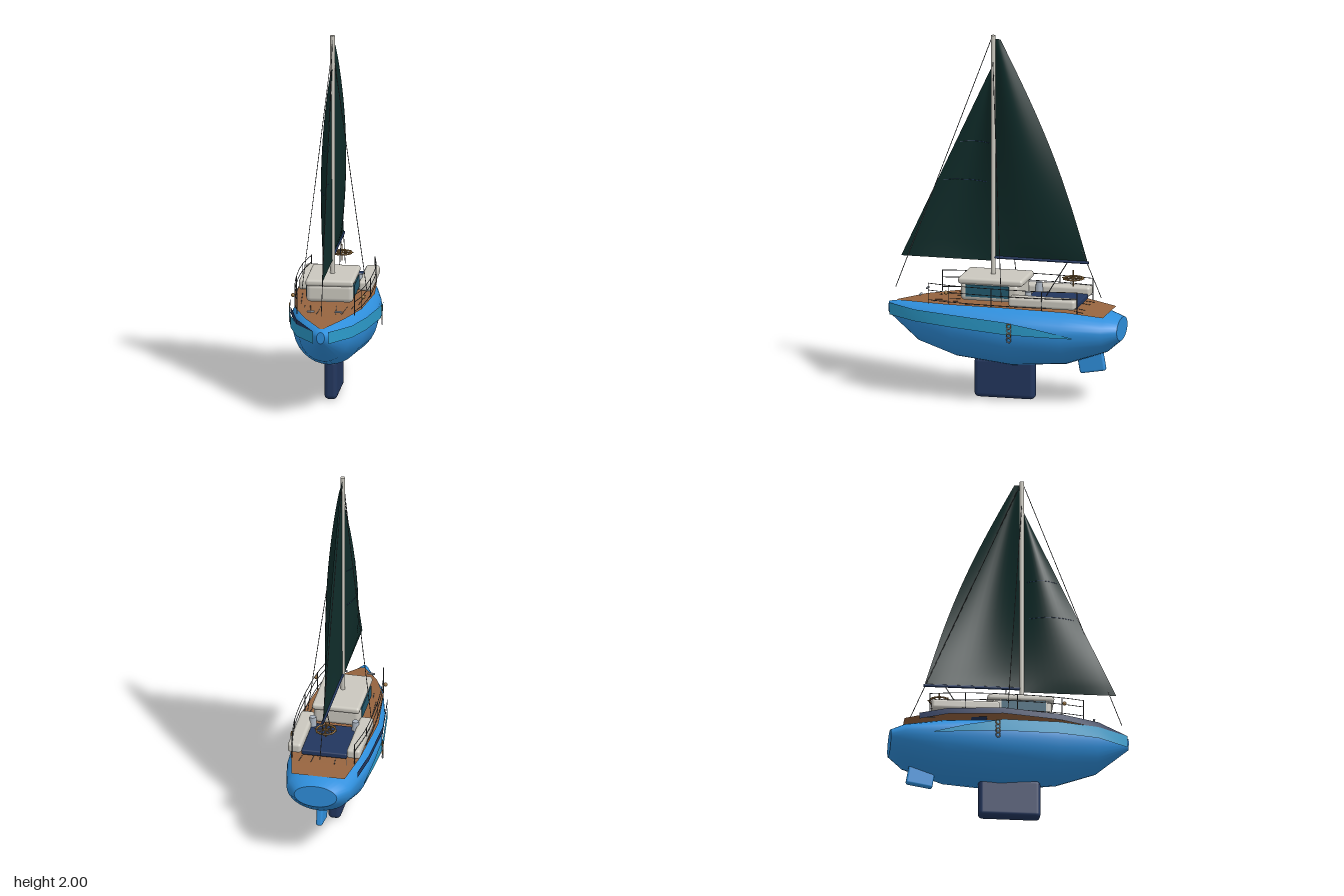
import * as THREE from 'three';
import { RoundedBoxGeometry } from 'three/addons/geometries/RoundedBoxGeometry.js';

const V = (x, y, z) => new THREE.Vector3(x, y, z);
const lerp = THREE.MathUtils.lerp;

function mat(name, color, side = THREE.FrontSide) {
  const m = new THREE.MeshStandardMaterial({ color, side });
  m.name = name;
  return m;
}

// Skin through rows of points; closed joins each row into a ring
function skin(rows, closed = false) {
  const n = rows[0].length, index = [];
  for (let i = 0; i < rows.length - 1; i++) {
    for (let j = 0; j < (closed ? n : n - 1); j++) {
      const k = (j + 1) % n;
      const a = i * n + j, b = i * n + k, c = a + n, d = b + n;
      index.push(a, c, b, b, c, d);
    }
  }
  const g = new THREE.BufferGeometry().setFromPoints(rows.flat());
  g.setIndex(index);
  g.computeVertexNormals();
  return g;
}

// Hull stations: z, half width, bottom, widest height, top
const STATIONS = [
  [0.645, 0.022, 0.437, 0.468, 0.50],
  [0.47, 0.137, 0.295, 0.45, 0.525],
  [0.26, 0.193, 0.225, 0.435, 0.54],
  [-0.05, 0.233, 0.193, 0.42, 0.547],
  [-0.35, 0.219, 0.217, 0.42, 0.538],
  [-0.57, 0.175, 0.295, 0.425, 0.508],
  [-0.645, 0.117, 0.36, 0.425, 0.485],
];

function stationAt(z) {
  for (let i = 0; i < STATIONS.length - 1; i++) {
    const a = STATIONS[i], b = STATIONS[i + 1];
    if (z >= b[0]) {
      const t = (z - a[0]) / (b[0] - a[0]);
      return a.map((v, k) => lerp(v, b[k], t));
    }
  }
  return STATIONS.at(-1);
}

function ring([z, w, bottom, mid, top], s = 1) {
  return Array.from({ length: 32 }, (_, j) => {
    const a = (j / 32) * Math.PI * 2, h = Math.sin(a);
    return V(Math.cos(a) * w * s, mid + h * s * (h > 0 ? top - mid : mid - bottom), z);
  });
}

export function createModel() {
  const boat = new THREE.Group();
  boat.name = 'sailboat';
  const M = {
    hull: mat('hull blue', 0x2f8fdc),
    teal: mat('band teal', 0x2c9bcb),
    navy: mat('navy', 0x22365e),
    deck: mat('deck wood', 0x96643f, THREE.DoubleSide),
    cream: mat('cream', 0xcac7be),
    sail: mat('sail green', 0x0f2b29, THREE.DoubleSide),
    bronze: mat('bronze', 0x9a7440),
    steel: mat('steel', 0xaab4c0),
    glass: mat('window glass', 0x235a70),
    line: mat('rigging', 0x45474a),
  };
  const add = (name, geo, m, x = 0, y = 0, z = 0) => {
    const mesh = new THREE.Mesh(geo, m);
    mesh.name = name;
    mesh.position.set(x, y, z);
    boat.add(mesh);
    return mesh;
  };
  const block = (name, m, x, y, z, w, h, d, r = 0.012) =>
    add(name, new RoundedBoxGeometry(w, h, d, 3, r), m, x, y, z);
  const rod = (name, m, a, b, r = 0.002, sides = 6) => {
    const dir = b.clone().sub(a);
    const mesh = add(name, new THREE.CylinderGeometry(r, r, dir.length(), sides), m);
    mesh.position.copy(a).add(b).multiplyScalar(0.5);
    mesh.quaternion.setFromUnitVectors(V(0, 1, 0), dir.normalize());
    return mesh;
  };

  // Hull with flat ends, keel and rudder
  const first = STATIONS[0], last = STATIONS.at(-1);
  add('hull', skin(STATIONS.map((s) => ring(s)), true), M.hull);
  add('bowCap', skin([ring(first, 0.001), ring(first)], true), M.hull);
  add('transom', skin([ring(last), ring(last, 0.001)], true), M.hull);
  block('keel', M.navy, 0, 0.115, 0.002, 0.07, 0.22, 0.335, 0.025);
  block('rudder', M.hull, 0, 0.24, -0.475, 0.035, 0.13, 0.145, 0.012).rotation.x = 0.17;

  // Teal bands along both sides: z, bottom, top
  const band = [[0.635, 0.435, 0.5], [0.47, 0.432, 0.497], [0.26, 0.425, 0.493],
    [-0.05, 0.41, 0.478], [-0.25, 0.404, 0.443], [-0.42, 0.4, 0.405]];
  for (const s of [-1, 1]) {
    const rows = band.map(([z, lo, hi]) => {
      const x = s * (stationAt(z)[1] + 0.013);
      return s > 0 ? [V(x, lo, z), V(x, hi, z)] : [V(x, hi, z), V(x, lo, z)];
    });
    add('sideBand', skin(rows), M.teal);
  }
  // Navy stripe under the deck edge on one side
  add('navyStripe', skin([0.635, 0.47, 0.26, -0.05, -0.35, -0.5].map((z) => {
    const [, w, , , top] = stationAt(z);
    return [V(-w - 0.012, top, z), V(-w - 0.012, top - 0.034, z)];
  })), M.navy);

  // Deck following the sheer, with plank seams
  const deckY = (z) => stationAt(z)[4] + 0.003;
  add('deck', skin([[0.6, 0.012], [0.46, 0.105], [0.28, 0.18], [-0.03, 0.217],
    [-0.38, 0.19], [-0.575, 0.145]].map(([z, w]) =>
    [V(w, deckY(z), z), V(-w, deckY(z), z)])), M.deck);
  for (const s of [-1, 1]) {
    for (const [x0, z0, x1, z1] of [[0.04, 0.24, 0.052, 0.38], [0.1, 0.24, 0.083, 0.38],
      [0.13, 0.24, 0.125, 0.29], [0.17, 0, 0.155, 0.2], [0.13, -0.46, 0.12, -0.41],
      [0.065, -0.46, 0.06, -0.41]]) {
      rod('plankSeam', M.line, V(s * x0, deckY(z0), z0), V(s * x1, deckY(z1), z1), 0.0018, 4);
    }
  }

  // Cabin, roof and windows
  block('cabin', M.cream, 0, 0.607, 0.06, 0.255, 0.1, 0.325, 0.025);
  block('cabinRoof', M.cream, 0, 0.666, 0.055, 0.26, 0.036, 0.36, 0.015);
  for (const s of [-1, 1]) {
    add('cabinWindow', new THREE.BoxGeometry(0.006, 0.066, 0.24), M.glass, s * 0.128, 0.614, 0.07);
  }

  // Cockpit, benches, winches and small deck fittings
  block('cockpitFloor', M.navy, 0, 0.558, -0.275, 0.25, 0.03, 0.3, 0.008);
  for (const s of [-1, 1]) {
    block('bench', M.cream, s * 0.162, 0.58, -0.248, 0.075, 0.055, 0.37, 0.016);
    add('winch', new THREE.CylinderGeometry(0.018, 0.022, 0.06, 10), M.steel, s * 0.117, 0.595, -0.155);
    block('cleat', M.steel, s * 0.075, 0.566, 0.452, 0.042, 0.01, 0.012, 0.004);
    add('deckLight', new THREE.SphereGeometry(0.011, 10, 8), M.bronze, s * 0.19, 0.61, 0.283);
    // Hanging chain on the side of the hull
    for (let i = 0; i < 4; i++) {
      const link = add('chainLink', new THREE.TorusGeometry(0.011, 0.003, 6, 12),
        i % 2 ? M.steel : M.bronze, s * 0.25, 0.458 - i * 0.025, -0.08);
      link.rotation.y = Math.PI / 2;
      link.scale.y = 1.3;
    }
  }

  // Steering wheel lying flat
  add('wheelRim', new THREE.TorusGeometry(0.052, 0.005, 8, 28), M.bronze, 0, 0.685, -0.375)
    .rotation.x = Math.PI / 2;
  for (let i = 0; i < 4; i++) {
    const a = (i / 4) * Math.PI, x = Math.cos(a) * 0.062, z = Math.sin(a) * 0.062;
    rod('wheelSpoke', M.bronze, V(x, 0.685, -0.375 + z), V(-x, 0.685, -0.375 - z), 0.003);
  }
  rod('wheelShaft', M.bronze, V(0, 0.64, -0.375), V(0, 0.73, -0.375), 0.004);

  // Guard rails
  const railPlan = [[0.155, 0.39], [0.18, 0.27], [0.2, 0.03], [0.198, -0.25], [0.172, -0.44]];
  for (const s of [-1, 1]) {
    for (const y of [0.557, 0.61, 0.648]) {
      const path = new THREE.CatmullRomCurve3(railPlan.map(([x, z]) => V(s * x, y, z)));
      add('guardRail', new THREE.TubeGeometry(path, 24, 0.002, 5), M.line);
    }
    for (const [x, z] of railPlan) {
      rod('railPost', M.line, V(s * x, deckY(z), z), V(s * x, 0.65, z), 0.0025);
    }
  }

  // Mast, boom and rigging
  rod('mast', M.cream, V(0, 0.55, 0.07), V(0, 2, 0.07), 0.013, 16);
  rod('boom', M.navy, V(0, 0.775, 0.07), V(0, 0.775, -0.46), 0.008, 10);
  rod('mainsheet', M.line, V(0, 0.775, -0.345), V(0, 0.58, -0.225), 0.0025);
  rod('forestay', M.line, V(0, 1.98, 0.08), V(0, 0.58, 0.61));
  rod('backstay', M.line, V(0, 1.98, 0.06), V(0, 0.585, -0.53));
  for (const s of [-1, 1]) {
    rod('shroud', M.line, V(s * 0.008, 1.88, 0.07), V(s * 0.175, 0.57, -0.02));
  }

  // Sails: luff and leech as functions of height, belly to one side
  const sailPoint = (edges, belly, u, v) => {
    const [z0, z1, y] = edges(v);
    return V(belly * Math.sin(Math.PI * u) * Math.sin(Math.PI * v) ** 0.7, y, lerp(z0, z1, u));
  };
  const sail = (name, edges, belly) => {
    const rows = Array.from({ length: 25 }, (_, i) =>
      Array.from({ length: 13 }, (_, j) => sailPoint(edges, belly, j / 12, Math.min(i / 24, 1 - 1e-6))));
    add(name, skin(rows), M.sail);
  };
  const mainEdges = (v) =>
    [0.06, lerp(-0.455, 0.03, v) - 0.042 * Math.sin(Math.PI * v), lerp(0.775, 1.98, v)];
  const jibEdges = (v) => [lerp(0.58, 0.076, v), 0.076, lerp(0.755, 1.83, v)];
  sail('mainSail', mainEdges, 0.052);
  sail('jib', jibEdges, -0.046);

  // Seams across the jib
  for (const v of [0.4, 0.6]) {
    const path = new THREE.CatmullRomCurve3(Array.from({ length: 9 }, (_, i) =>
      sailPoint(jibEdges, -0.046, 0.1 + i * 0.1, v)));
    add('sailSeam', new THREE.TubeGeometry(path, 16, 0.0015, 5), M.navy);
  }
  return boat;
}
